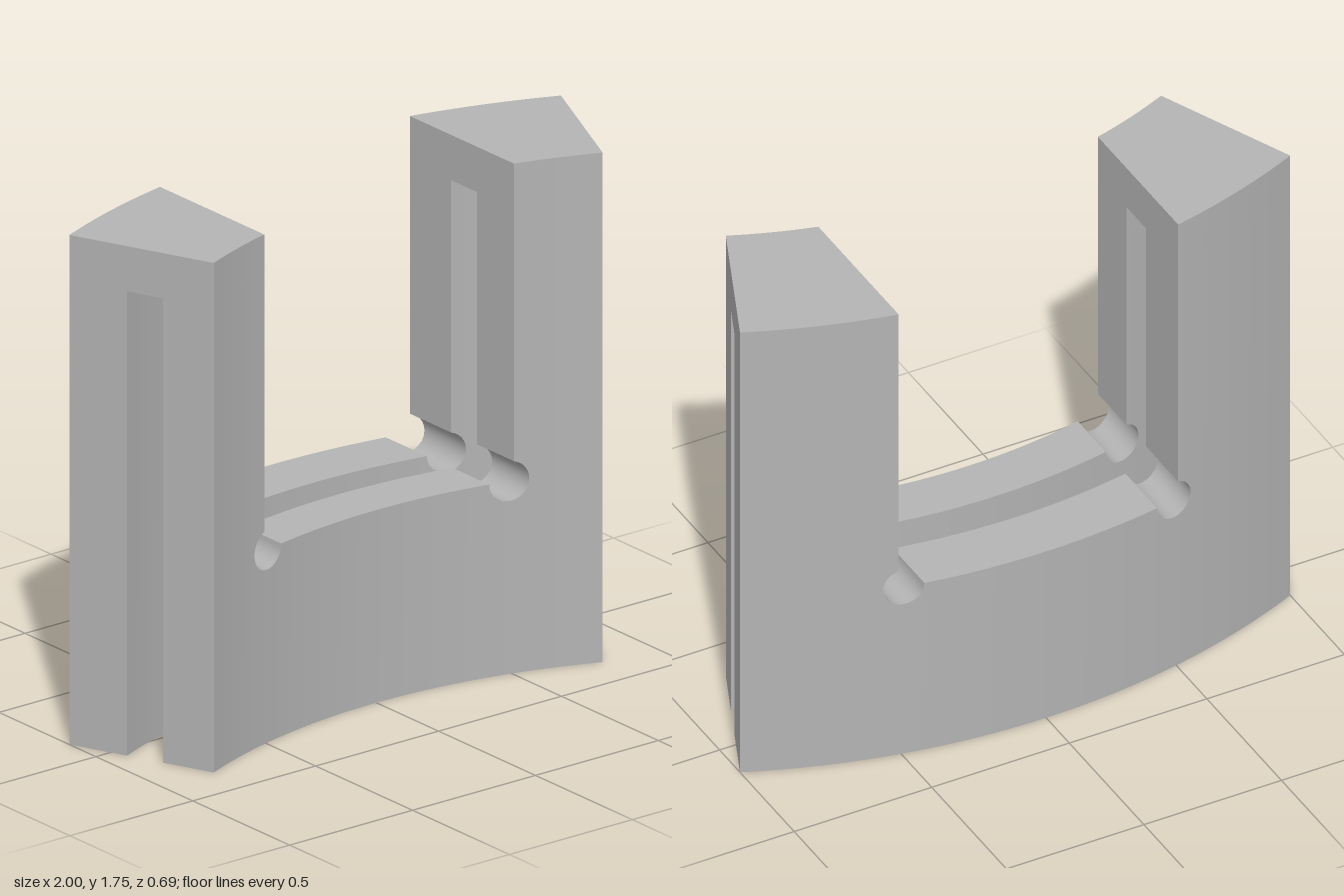
import * as THREE from 'three';
import { toCreasedNormals } from 'three/addons/utils/BufferGeometryUtils.js';

const CZ = 2.163, SIN = Math.sin(THREE.MathUtils.degToRad(23.5)); // arc centre, half angle
const R_IN = 1.984, R_SLOT_IN = 2.169, R_SLOT_OUT = 2.299, R_OUT = 2.508;
const TOP = 1.745, SLOT_TOP = 1.59, FLOOR = 0.66;
const CX = 0.491, CR = 0.068, WALL = 0.508; // corner relief circles, notch wall

// A column is { x(R), lo, hi }: a vertical line through the ring wall
const column = (x, lo, hi) => ({ x: () => x, lo, hi });
const mirror = (cols) => cols.map((c) => ({ ...c, x: (R) => -c.x(R) })).reverse();
const range = (n, f) => Array.from({ length: n + 1 }, (_, i) => f(i / n));

// Loft neighbouring columns between two radii, drawing only the named faces
function loft(out, cols, r0, r1, faces) {
  const P = (c, y, R) => {
    const x = c.x(R);
    return [x, y, CZ - Math.sqrt(R * R - x * x)];
  };
  const quad = (a, b, c, d) => out.push(...a, ...b, ...c, ...a, ...c, ...d);
  for (let i = 0; i < cols.length - 1; i++) {
    const a = cols[i], b = cols[i + 1];
    if (faces.includes('front')) quad(P(a, a.lo, r0), P(b, b.lo, r0), P(b, b.hi, r0), P(a, a.hi, r0));
    if (faces.includes('back')) quad(P(b, b.lo, r1), P(a, a.lo, r1), P(a, a.hi, r1), P(b, b.hi, r1));
    if (faces.includes('top')) quad(P(a, a.hi, r0), P(b, b.hi, r0), P(b, b.hi, r1), P(a, a.hi, r1));
    if (faces.includes('under')) quad(P(a, a.lo, r1), P(b, b.lo, r1), P(b, b.lo, r0), P(a, a.lo, r0));
  }
  const s = cols[0], e = cols[cols.length - 1];
  if (faces.includes('minX')) quad(P(s, s.lo, r1), P(s, s.lo, r0), P(s, s.hi, r0), P(s, s.hi, r1));
  if (faces.includes('maxX')) quad(P(e, e.lo, r0), P(e, e.lo, r1), P(e, e.hi, r1), P(e, e.hi, r0));
}

// Loft the same columns on the +x side and mirrored on the -x side
function loftPair(out, cols, r0, r1, faces) {
  const swap = { minX: 'maxX', maxX: 'minX' };
  loft(out, cols, r0, r1, faces);
  loft(out, mirror(cols), r0, r1, faces.map((f) => swap[f] || f));
}

export function createModel() {
  const group = new THREE.Group();
  const grey = new THREE.MeshStandardMaterial({ color: 0xb4b4b4 });

  const addMesh = (name, positions) => {
    const geo = new THREE.BufferGeometry();
    geo.setAttribute('position', new THREE.Float32BufferAttribute(positions, 3));
    const mesh = new THREE.Mesh(toCreasedNormals(geo, 0.5), grey);
    mesh.name = name;
    group.add(mesh);
  };

  // Low bridge with the lower part of both relief circles
  const relief = range(12, (t) => {
    const a = -Math.PI * (1 - t);
    return column(CX + CR * Math.cos(a), 0, FLOOR + CR * Math.sin(a));
  });
  const bridge = [
    ...mirror(relief),
    ...range(24, (t) => column((CX - CR) * (2 * t - 1), 0, FLOOR)).slice(1, -1),
    ...relief,
  ];
  // Tower part hanging over the relief circle
  const a0 = Math.acos((WALL - CX) / CR);
  const overhang = range(6, (t) => {
    const a = a0 * (1 - t);
    return column(CX + CR * Math.cos(a), FLOOR + CR * Math.sin(a), SLOT_TOP);
  });
  // Solid tower part, ending on a radial plane
  const tower = range(10, (t) => ({
    x: (R) => THREE.MathUtils.lerp(CX + CR, R * SIN, t), lo: 0, hi: SLOT_TOP,
  }));
  // Columns for the solid head above the slot
  const head = [...overhang, ...tower.slice(1)].map((c) => ({ ...c, lo: SLOT_TOP, hi: TOP }));

  // Two curved walls with the slot between them
  for (const [name, r0, r1] of [['frontWall', R_IN, R_SLOT_IN], ['backWall', R_SLOT_OUT, R_OUT]]) {
    const out = [];
    loft(out, bridge, r0, r1, ['front', 'back', 'top', 'under']);
    loftPair(out, overhang, r0, r1, ['front', 'back', 'under', 'minX']);
    loftPair(out, tower, r0, r1, ['front', 'back', 'under', 'maxX']);
    addMesh(name, out);
  }

  // Solid tower heads and the slot ceiling beneath them
  const heads = [];
  loftPair(heads, head, R_IN, R_OUT, ['front', 'back', 'top', 'minX', 'maxX']);
  addMesh('towerHeads', heads);
  const ceiling = [];
  loftPair(ceiling, head, R_SLOT_IN, R_SLOT_OUT, ['under']);
  addMesh('slotCeilings', ceiling);

  return group;
}
